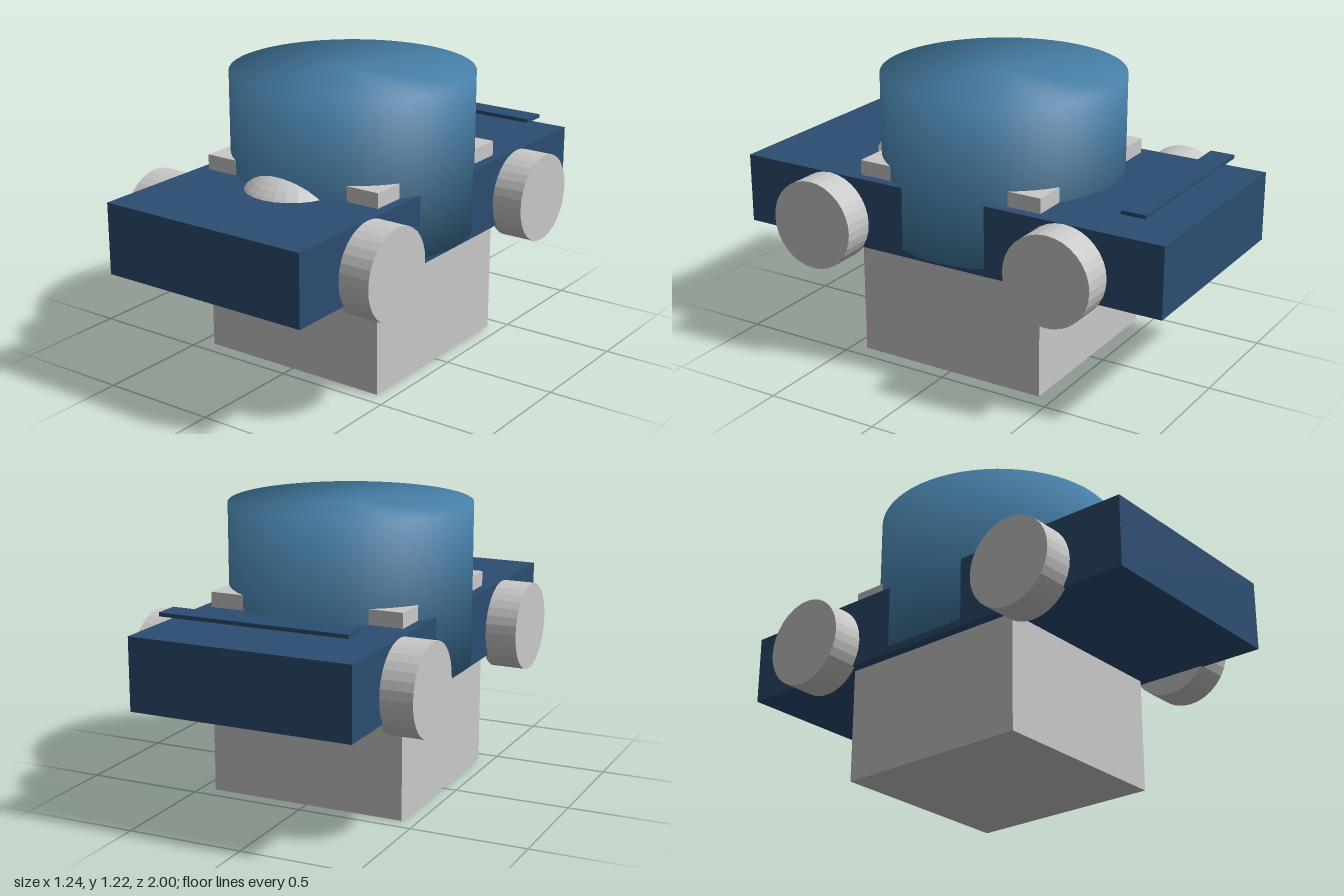
import * as THREE from 'three';

const navy = new THREE.MeshStandardMaterial({ color: 0x2c4d72 });
navy.name = 'navy';
const blue = new THREE.MeshStandardMaterial({ color: 0x467ea6 });
blue.name = 'steel blue';
const grey = new THREE.MeshStandardMaterial({ color: 0xc9c9c9 });
grey.name = 'light grey';

function faceted(geometry) {
  const flat = geometry.toNonIndexed();
  flat.computeVertexNormals();
  return flat;
}

function add(group, name, geometry, material, x, y, z) {
  const mesh = new THREE.Mesh(geometry, material);
  mesh.name = name;
  mesh.position.set(x, y, z);
  group.add(mesh);
  return mesh;
}

// Drum whose normals run softly over the rims, as if caps and wall shared vertices
function softDrum(radius, height) {
  const geometry = new THREE.CylinderGeometry(radius, radius, height, 64);
  const p = geometry.attributes.position;
  const n = geometry.attributes.normal;
  const v = new THREE.Vector3();
  for (let i = 0; i < p.count; i++) {
    v.set(p.getX(i) / radius, Math.sign(p.getY(i)), p.getZ(i) / radius).normalize();
    n.setXYZ(i, v.x, v.y, v.z);
  }
  return geometry;
}

export function createModel() {
  const model = new THREE.Group();
  model.name = 'vehicle';

  // Long flat body and the block through its middle
  add(model, 'body', new THREE.BoxGeometry(0.96, 0.305, 2), navy, 0, 0.6525, 0);
  add(model, 'base', new THREE.BoxGeometry(0.87, 0.87, 0.87), grey, 0, 0.435, 0);

  // Large round cabin
  add(model, 'cabin', softDrum(0.52, 0.69), blue, 0, 0.875, 0);

  // Domed bump in front of the cabin
  const dome = new THREE.SphereGeometry(0.268, 24, 12, 0, Math.PI * 2, 0, Math.PI / 2);
  add(model, 'frontDome', faceted(dome), grey, 0, 0.626, 0.42);

  // Rear plate floating above the deck
  add(model, 'rearPlate', new THREE.BoxGeometry(0.82, 0.016, 0.107), navy, 0, 0.874, -0.829);

  // Four wheels
  const wheel = faceted(new THREE.CylinderGeometry(0.194, 0.194, 0.152, 32).rotateZ(Math.PI / 2));
  for (const side of [1, -1]) {
    for (const end of [1, -1]) {
      const name = (end > 0 ? 'front' : 'rear') + (side > 0 ? 'Left' : 'Right') + 'Wheel';
      add(model, name, wheel, grey, side * 0.543, 0.611, end * 0.565);
    }
  }

  return model;
}
